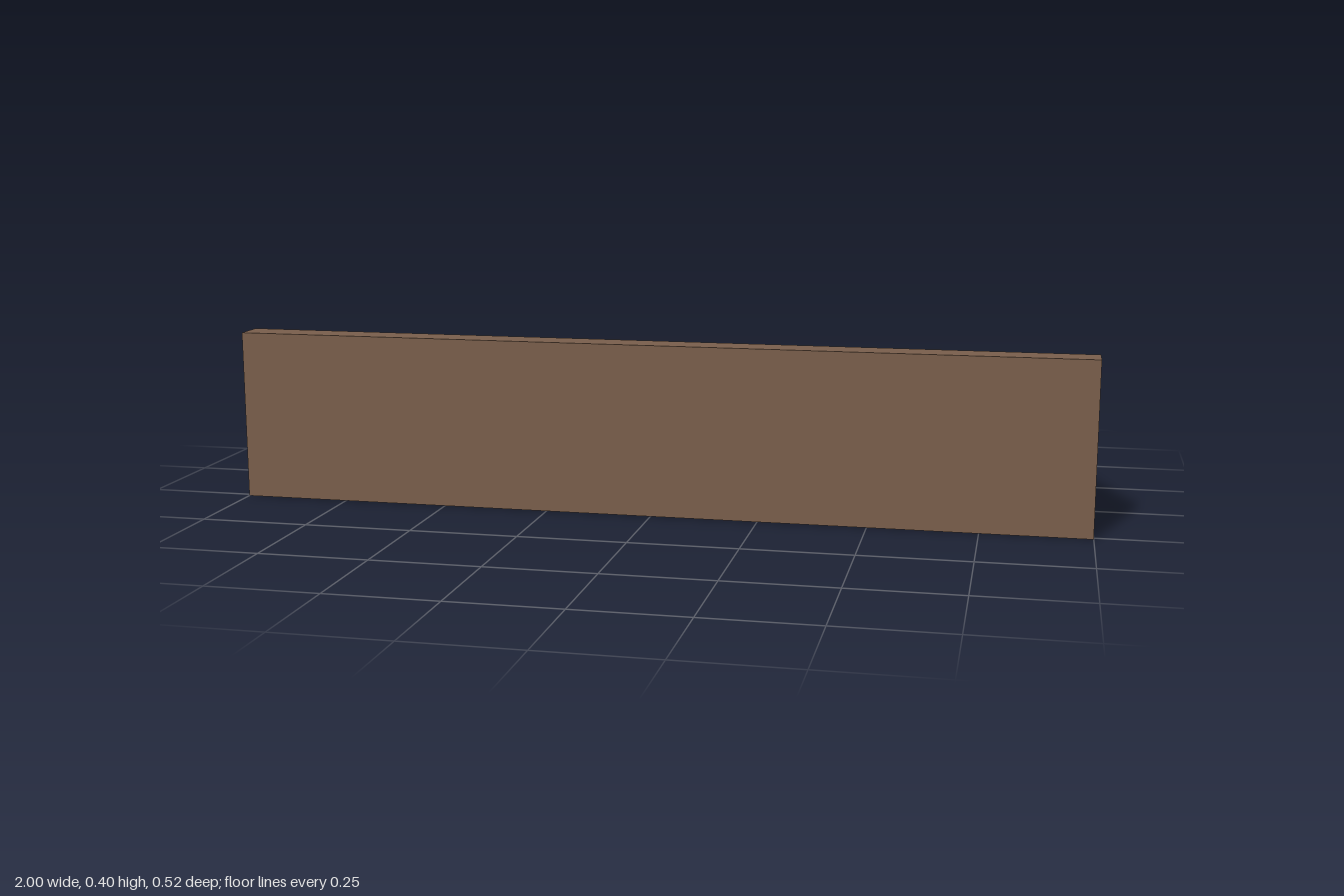
import * as THREE from 'three';

const LENGTH = 2, RISE = 0.1, TREAD = 0.15, STEPS = 4;
const FRONT = 0.2625, BACK = -0.2625;

export function createModel() {
  const group = new THREE.Group();
  group.name = 'steps';

  const brown = new THREE.MeshStandardMaterial({ color: 0x7a5f4c, flatShading: true });
  brown.name = 'brown';

  // Stepped side profile, drawn with z across and y up
  const profile = new THREE.Shape();
  profile.moveTo(FRONT, 0);
  profile.lineTo(FRONT, RISE * STEPS);
  for (let i = STEPS - 1; i > 0; i--) {
    const z = BACK + TREAD * i;
    profile.lineTo(z, RISE * (i + 1));
    profile.lineTo(z, RISE * i);
  }
  profile.lineTo(BACK, RISE);
  profile.lineTo(BACK, 0);
  profile.closePath();

  // Extrude the profile along x
  const geometry = new THREE.ExtrudeGeometry(profile, { depth: LENGTH, bevelEnabled: false });
  geometry.rotateY(-Math.PI / 2);
  geometry.translate(LENGTH / 2, 0, 0);

  const staircase = new THREE.Mesh(geometry, brown);
  staircase.name = 'staircase';
  group.add(staircase);
  return group;
}
